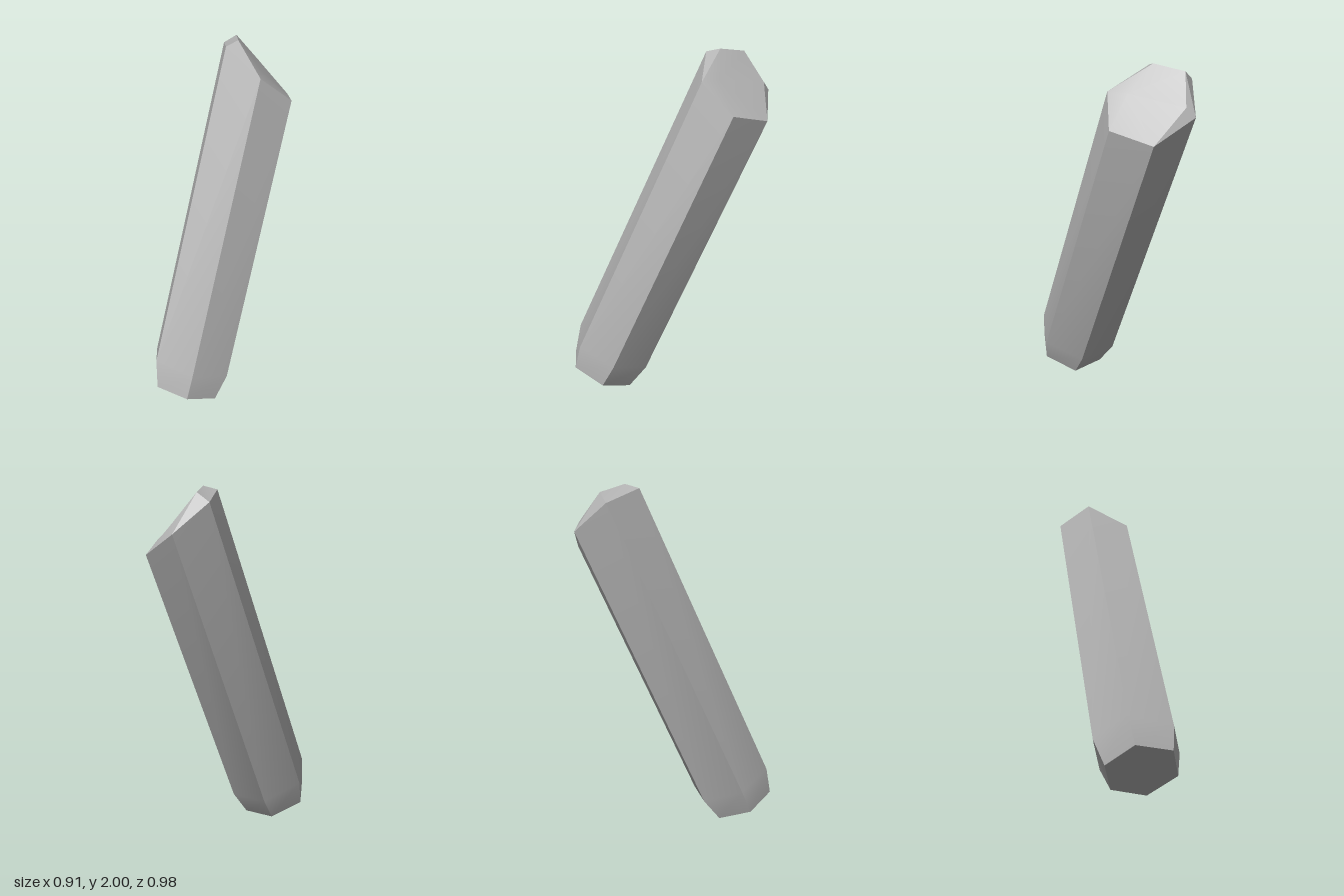
import * as THREE from 'three';
import { toCreasedNormals } from 'three/addons/utils/BufferGeometryUtils.js';

// Hexagonal cross-sections of the leaning crystal, from the foot to the tip
const foot = [[-0.455, 0.15, 0.35], [-0.43, 0.08, 0.17], [-0.25, 0.01, 0.11],
  [-0.10, 0, 0.24], [-0.13, 0.07, 0.43], [-0.305, 0.145, 0.485]];
const lower = [[-0.45, 0.31, 0.31], [-0.415, 0.23, 0.095], [-0.20, 0.14, 0.02],
  [-0.02, 0.13, 0.18], [-0.055, 0.21, 0.41], [-0.27, 0.29, 0.475]];
const upper = [[0.075, 1.98, -0.22], [0.115, 1.92, -0.45], [0.305, 1.76, -0.49],
  [0.455, 1.64, -0.295], [0.41, 1.70, -0.06], [0.22, 1.86, -0.02]];
// The tip is chipped on the back; its front corners stay on the upper ring
const tip = [[0.15, 2, -0.25], [0.18, 1.97, -0.42], [0.31, 1.81, -0.44], ...upper.slice(3)];

function crystalGeometry(rings, bottomCentre, topCentre) {
  const points = [];
  const triangle = (a, b, c) => {
    if (a !== b && b !== c && c !== a) points.push(...a, ...b, ...c);
  };
  const first = rings[0];
  const last = rings[rings.length - 1];
  for (let i = 0; i < 6; i++) {
    const j = (i + 1) % 6;
    // side facets between neighbouring rings
    for (let r = 0; r < rings.length - 1; r++) {
      const low = rings[r], high = rings[r + 1];
      triangle(low[j], low[i], high[i]);
      triangle(low[j], high[i], high[j]);
    }
    // end facets
    triangle(bottomCentre, first[i], first[j]);
    triangle(topCentre, last[j], last[i]);
  }
  const geometry = new THREE.BufferGeometry();
  geometry.setAttribute('position', new THREE.Float32BufferAttribute(points, 3));
  return toCreasedNormals(geometry, Math.PI / 6);
}

export function createModel() {
  const group = new THREE.Group();
  group.name = 'crystalShard';
  const stone = new THREE.MeshStandardMaterial({ color: 0xb4b4b4 });
  stone.name = 'grey stone';
  const crystal = new THREE.Mesh(
    crystalGeometry([foot, lower, upper, tip], [-0.28, 0.077, 0.297], [0.25, 1.86, -0.13]), stone);
  crystal.name = 'crystal';
  group.add(crystal);
  return group;
}
